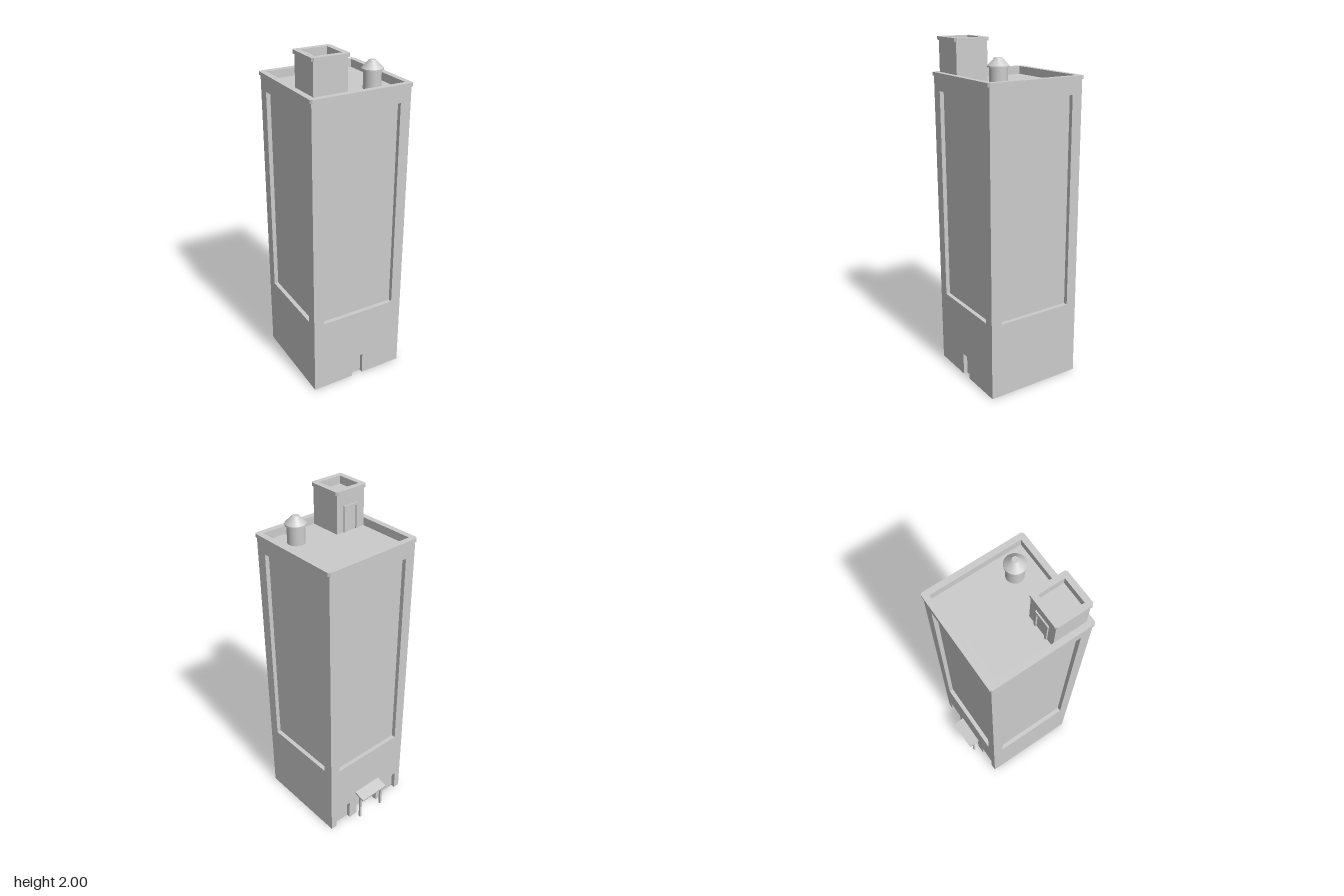
import * as THREE from 'three';

const mat = new THREE.MeshStandardMaterial({ color: 0xcccccc });
const CZ = 0.03;      // centre of the tower in z
const HALF = 0.295;   // half width of the tower
const WALL = 0.025;   // wall thickness, also the recess depth
const WALL_TOP = 1.786;
const ROOF = 1.76;

function add(parent, name, geo, x = 0, y = 0, z = 0) {
  const mesh = new THREE.Mesh(geo, mat);
  mesh.name = name;
  mesh.position.set(x, y, z);
  parent.add(mesh);
  return mesh;
}

// box given by its limits
function block(parent, name, x0, x1, y0, y1, z0, z1) {
  return add(parent, name, new THREE.BoxGeometry(x1 - x0, y1 - y0, z1 - z0),
    (x0 + x1) / 2, (y0 + y1) / 2, (z0 + z1) / 2);
}

function polygon(points) {
  return points.map(([x, y]) => new THREE.Vector2(x, y));
}

// wall standing on the ground; doors are notches [x0, x1, height], panels are holes
function wallGeometry(half, height, depth, doors = [], panels = []) {
  const pts = [[-half, 0]];
  for (const [x0, x1, h] of doors) pts.push([x0, 0], [x0, h], [x1, h], [x1, 0]);
  pts.push([half, 0], [half, height], [-half, height]);
  const shape = new THREE.Shape(polygon(pts));
  for (const [x0, x1, y0, y1] of panels) {
    shape.holes.push(new THREE.Path(polygon([[x0, y0], [x0, y1], [x1, y1], [x1, y0]])));
  }
  return new THREE.ExtrudeGeometry(shape, { depth, bevelEnabled: false });
}

// square ring with clipped corners, lying flat
function copingGeometry(outer, inner, clip, height) {
  const o = outer, c = outer - clip, i = inner;
  const shape = new THREE.Shape(polygon(
    [[c, -o], [o, -c], [o, c], [c, o], [-c, o], [-o, c], [-o, -c], [-c, -o]]));
  shape.holes.push(new THREE.Path(polygon([[-i, -i], [-i, i], [i, i], [i, -i]])));
  const geo = new THREE.ExtrudeGeometry(shape, { depth: height, bevelEnabled: false });
  return geo.rotateX(-Math.PI / 2);
}

function createTower() {
  const tower = new THREE.Group();
  tower.name = 'tower';
  tower.position.z = CZ;
  const inner = HALF - WALL;
  const porchDepth = 0.03;

  // core carries the roof deck and the backs of the recesses
  block(tower, 'core', -inner, inner, 0, ROOF, -inner + porchDepth, inner);

  // four walls, each with a tall recessed panel
  const panel = [[-0.232, 0.232, 0.46, 1.705]];
  const frontDoor = [[-0.035, 0.035, 0.137]];
  const porch = [-0.085, 0.085, 0.15];
  const backDoors = [[-0.255, -0.145, 0.13], porch, [0.145, 0.255, 0.13]];
  const walls = [
    ['frontWall', 0, HALF, frontDoor],
    ['rightSideWall', Math.PI / 2, inner, []],
    ['backWall', Math.PI, HALF, backDoors],
    ['leftSideWall', -Math.PI / 2, inner, []],
  ];
  for (const [name, turn, half, doors] of walls) {
    const geo = wallGeometry(half, WALL_TOP, WALL, doors, panel);
    geo.translate(0, 0, inner).rotateY(turn);
    add(tower, name, geo);
  }

  // second layer behind the back wall makes the entrance deeper
  const lining = wallGeometry(inner, ROOF, porchDepth, [porch]);
  add(tower, 'entranceLining', lining.translate(0, 0, inner - porchDepth).rotateY(Math.PI));

  // double entrance doors
  const zBack = -inner + porchDepth;
  for (const s of [-1, 1]) {
    add(tower, 'entranceDoor', new THREE.BoxGeometry(0.066, 0.135, 0.01), s * 0.036, 0.0675, zBack - 0.004);
  }

  add(tower, 'roofCoping', copingGeometry(0.304, inner, 0.011, 0.02), 0, WALL_TOP, 0);
  return tower;
}

function createPenthouse() {
  const house = new THREE.Group();
  house.name = 'penthouse';
  house.position.set(-0.173, 0, 0.203);
  const half = 0.097, inner = 0.0745, deck = 1.955, top = 1.981;
  block(house, 'penthouseBody', -half, half, ROOF, deck, -half, half);

  // low parapet around the sunken deck
  for (const s of [-1, 1]) {
    const mid = (half + inner) / 2, t = half - inner, y = (deck + top) / 2;
    add(house, 'parapet', new THREE.BoxGeometry(t, top - deck, half * 2), s * mid, y, 0);
    add(house, 'parapet', new THREE.BoxGeometry(inner * 2, top - deck, t), 0, y, s * mid);
  }
  add(house, 'penthouseCoping', copingGeometry(0.107, inner, 0.011, 0.019), 0, top, 0);

  // framed roof door facing the back
  const z0 = -half - 0.008;
  for (const s of [-1, 1]) {
    add(house, 'doorJamb', new THREE.BoxGeometry(0.014, 0.15, 0.01), s * 0.043, ROOF + 0.075, z0 + 0.005);
  }
  block(house, 'doorHead', -0.036, 0.036, 1.896, 1.91, z0, z0 + 0.01);
  return house;
}

function createRoofTank() {
  const tank = new THREE.Group();
  tank.name = 'roofTank';
  tank.position.set(0.147, 0, 0.177);
  add(tank, 'tankBody', new THREE.CylinderGeometry(0.049, 0.049, 0.105, 48), 0, ROOF + 0.0525, 0);
  add(tank, 'tankBrim', new THREE.CylinderGeometry(0.059, 0.059, 0.008, 48), 0, 1.866, 0);
  add(tank, 'tankCap', new THREE.CylinderGeometry(0.018, 0.059, 0.042, 48), 0, 1.891, 0);
  return tank;
}

function createCanopy() {
  const canopy = new THREE.Group();
  canopy.name = 'entranceCanopy';
  // sloping slab drawn in profile, then swept across its width
  const profile = new THREE.Shape(polygon(
    [[-0.262, 0.182], [-0.262, 0.194], [-0.337, 0.174], [-0.334, 0.162]]));
  const slab = new THREE.ExtrudeGeometry(profile, { depth: 0.196, bevelEnabled: false });
  slab.rotateY(-Math.PI / 2).translate(0.098, 0, 0);
  add(canopy, 'canopyRoof', slab);
  for (const s of [-1, 1]) {
    add(canopy, 'canopyPost', new THREE.BoxGeometry(0.013, 0.175, 0.013), s * 0.088, 0.0875, -0.302);
  }
  return canopy;
}

export function createModel() {
  const model = new THREE.Group();
  model.name = 'towerBlock';
  model.add(createTower(), createPenthouse(), createRoofTank(), createCanopy());
  return model;
}
